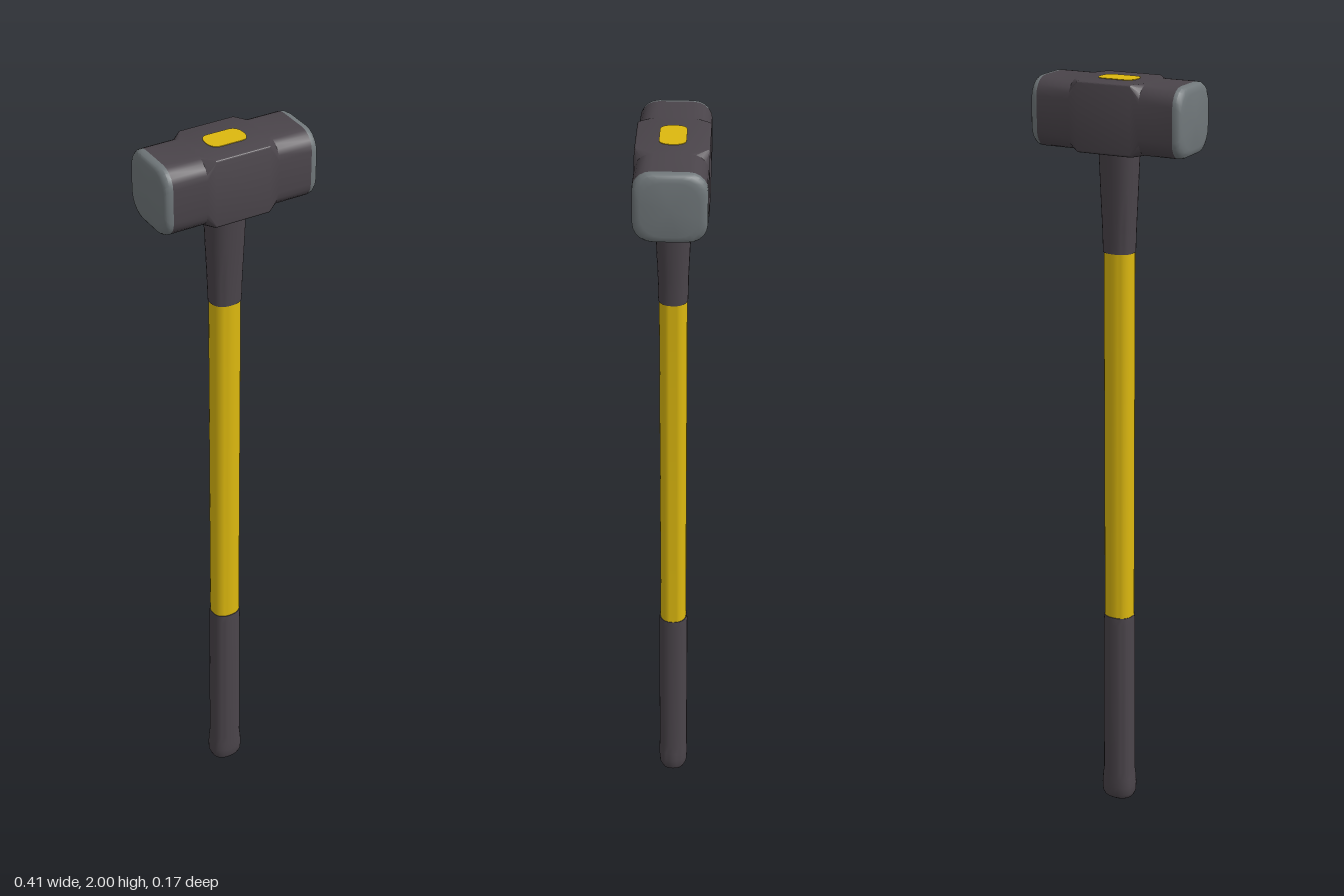
import * as THREE from 'three';
import { toCreasedNormals } from 'three/addons/utils/BufferGeometryUtils.js';

const material = (name, color) => new THREE.MeshStandardMaterial({ name, color });

// Skins a list of equal-length rings; each ring runs anticlockwise about the direction of travel
function loft(rings, capStart, capEnd, crease) {
  const n = rings[0].length;
  const points = rings.flat();
  const index = [];
  for (let i = 0; i < rings.length - 1; i++) {
    for (let j = 0; j < n; j++) {
      const k = (j + 1) % n;
      const a = i * n + j, b = i * n + k, c = b + n, d = a + n;
      index.push(a, b, c, a, c, d);
    }
  }
  const cap = (ring, start, flip) => {
    const centre = ring.reduce((s, p) => s.add(p), new THREE.Vector3()).divideScalar(n);
    const c = points.push(centre) - 1;
    for (let j = 0; j < n; j++) {
      const k = (j + 1) % n;
      index.push(c, start + (flip ? k : j), start + (flip ? j : k));
    }
  };
  if (capStart) cap(rings[0], 0, true);
  if (capEnd) cap(rings[rings.length - 1], (rings.length - 1) * n, false);
  const geometry = new THREE.BufferGeometry().setFromPoints(points);
  geometry.setIndex(index);
  return toCreasedNormals(geometry, crease);
}

// Slightly squared oval across the handle
function ovalRing(y, rx, rz) {
  const soft = (v) => Math.sign(v) * Math.abs(v) ** 0.85;
  return Array.from({ length: 28 }, (_, i) => {
    const a = (i / 28) * Math.PI * 2;
    return new THREE.Vector3(rx * soft(Math.sin(a)), y, rz * soft(Math.cos(a)));
  });
}

// Square with rounded corners across the head
const HEAD_Y = 1.912;
function headRing(x, half, corner) {
  const ring = [];
  for (let q = 0; q < 4; q++) {
    const mid = Math.PI / 4 + (q * Math.PI) / 2;
    const cy = Math.sign(Math.cos(mid)) * (half - corner);
    const cz = Math.sign(Math.sin(mid)) * (half - corner);
    for (let s = 0; s <= 5; s++) {
      const t = ((q + s / 5) * Math.PI) / 2;
      ring.push(new THREE.Vector3(x, HEAD_Y + cy + corner * Math.cos(t), cz + corner * Math.sin(t)));
    }
  }
  return ring;
}

export function createModel() {
  const group = new THREE.Group();
  const dark = material('dark rubber and iron', 0x4a444a);
  const yellow = material('yellow shaft', 0xdcb80f);
  const steel = material('worn steel', 0x70777a);
  const add = (name, geometry, mat) => {
    const mesh = new THREE.Mesh(geometry, mat);
    mesh.name = name;
    group.add(mesh);
    return mesh;
  };
  const handle = (name, rows, mat) =>
    add(name, loft(rows.map((r) => ovalRing(...r)), true, true, 0.7), mat);

  // Handle: flared grip, shaft and tapering collar, as [y, half width, half depth]
  handle('grip', [
    [0, 0.032, 0.026], [0.006, 0.041, 0.034], [0.018, 0.046, 0.039], [0.04, 0.047, 0.04],
    [0.065, 0.045, 0.04], [0.09, 0.042, 0.039], [0.54, 0.041, 0.039], [0.56, 0.04, 0.037],
  ], dark);
  handle('shaft', [[0.55, 0.039, 0.035], [1.575, 0.039, 0.035]], yellow);
  handle('collar', [
    [1.565, 0.041, 0.037], [1.63, 0.043, 0.038], [1.72, 0.047, 0.042], [1.835, 0.051, 0.048],
  ], dark);

  // Head: square middle narrowing to rounded ends
  const body = [
    [-0.184, 0.087, 0.045], [-0.095, 0.087, 0.045], [-0.072, 0.0875, 0.007],
    [0.072, 0.0875, 0.007], [0.095, 0.087, 0.045], [0.184, 0.087, 0.045],
  ];
  add('head', loft(body.map((r) => headRing(...r)), false, false, 0.5), dark);

  // Striking faces with softened rims
  const rim = [
    [0.184, 0.087, 0.045], [0.193, 0.0865, 0.046], [0.2, 0.083, 0.048],
    [0.204, 0.077, 0.05], [0.206, 0.068, 0.05],
  ];
  const mirrored = rim.map(([x, h, c]) => [-x, h, c]).reverse();
  add('leftFace', loft(rim.map((r) => headRing(...r)), false, true, 0.6), steel);
  add('rightFace', loft(mirrored.map((r) => headRing(...r)), true, false, 0.6), steel);

  // End of the shaft showing through the top of the head
  const w = 0.051, d = 0.032, r = 0.024;
  const eye = new THREE.Shape();
  eye.moveTo(-w + r, -d);
  eye.lineTo(w - r, -d);
  eye.quadraticCurveTo(w, -d, w, 0);
  eye.quadraticCurveTo(w, d, w - r, d);
  eye.lineTo(-w + r, d);
  eye.quadraticCurveTo(-w, d, -w, 0);
  eye.quadraticCurveTo(-w, -d, -w + r, -d);
  const plate = new THREE.ExtrudeGeometry(eye, { depth: 0.004, bevelEnabled: false, curveSegments: 8 });
  plate.rotateX(-Math.PI / 2).translate(0, 1.997, 0);
  add('shaftEnd', plate, yellow);

  return group;
}
